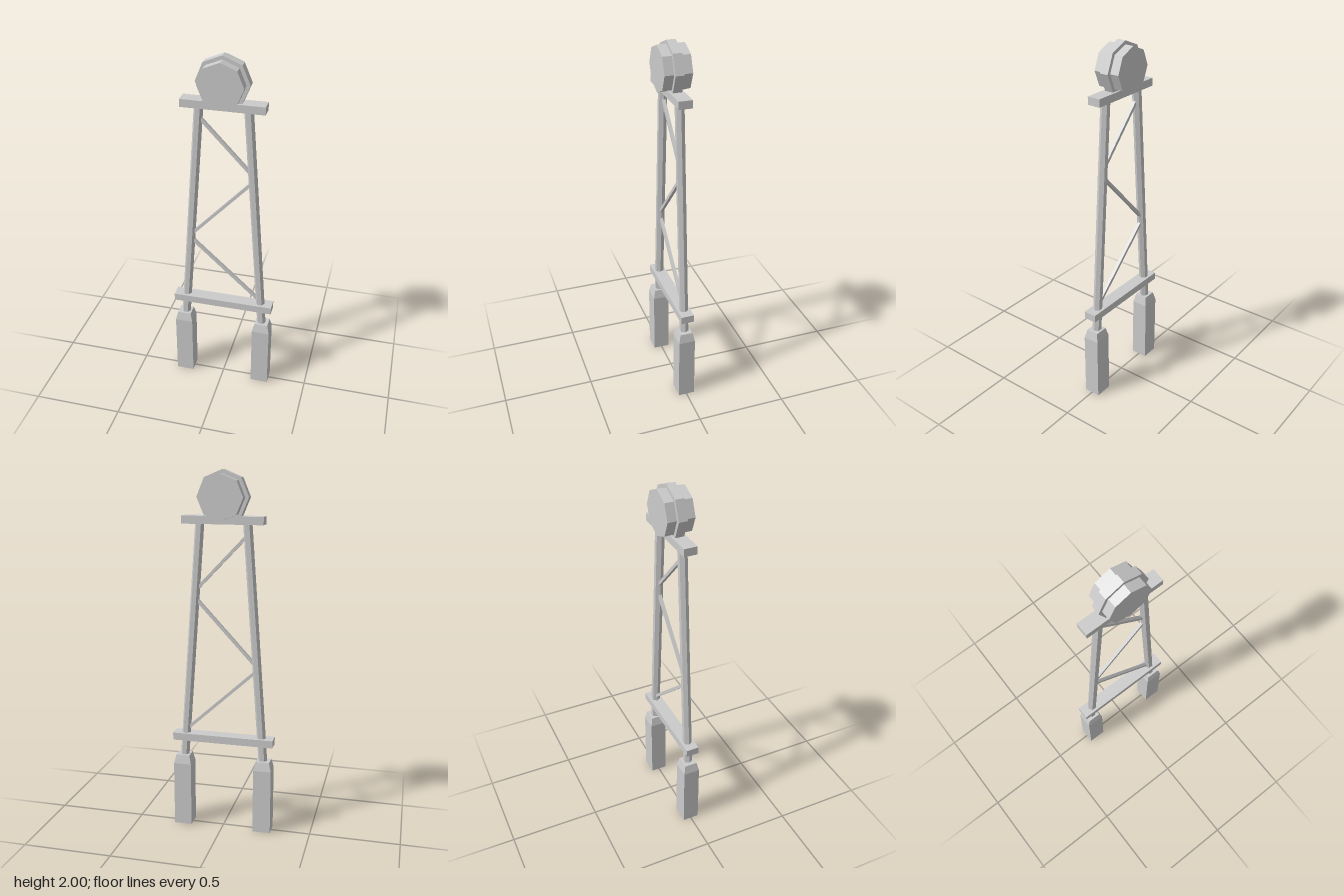
import * as THREE from 'three';

const material = new THREE.MeshStandardMaterial({ color: 0xcccccc, flatShading: true });

export function createModel() {
  const model = new THREE.Group();

  const add = (name, geometry, x = 0, y = 0, z = 0) => {
    const mesh = new THREE.Mesh(geometry, material);
    mesh.name = name;
    mesh.position.set(x, y, z);
    model.add(mesh);
    return mesh;
  };

  // Straight bar between two points in the z = 0 plane
  const bar = (name, [x1, y1], [x2, y2], makeGeometry) => {
    const length = Math.hypot(x2 - x1, y2 - y1);
    const mesh = add(name, makeGeometry(length), (x1 + x2) / 2, (y1 + y2) / 2);
    mesh.rotation.z = Math.atan2(x1 - x2, y2 - y1);
  };

  // Octagonal drum with a raised middle band
  const drum = (name, radius, depth, z) =>
    add(name, new THREE.CylinderGeometry(radius, radius, depth, 8).rotateX(Math.PI / 2), 0, 1.86, z);
  drum('drumBand', 0.14, 0.048, 0);
  drum('drumFront', 0.12, 0.049, 0.0485);
  drum('drumBack', 0.12, 0.049, -0.0485);

  // Cross beams
  add('topBeam', new THREE.BoxGeometry(0.44, 0.042, 0.072), 0, 1.742);
  add('lowerBeam', new THREE.BoxGeometry(0.57, 0.042, 0.072), 0, 0.53);

  for (const side of [1, -1]) {
    const label = side > 0 ? 'left' : 'right';

    // Leaning hexagonal leg, corners pointing along x
    bar(label + 'Leg', [side * 0.227, 0.4], [side * 0.129, 1.73],
      (length) => new THREE.CylinderGeometry(0.025, 0.025, length, 6).rotateY(Math.PI / 2));

    // Foot block with a tapered cap
    const foot = new THREE.BoxGeometry(0.1, 0.42, 0.092, 1, 2, 1);
    const p = foot.attributes.position;
    for (let i = 0; i < p.count; i++) {
      if (p.getY(i) > 0.1) p.setXYZ(i, p.getX(i) * 0.76, 0.21, p.getZ(i) * 0.76);
      else if (p.getY(i) > -0.1) p.setY(i, 0.16);
    }
    foot.computeVertexNormals();
    add(label + 'Foot', foot, side * 0.23, 0.21);
  }

  // Zigzag braces between the legs
  const braces = [
    [[-0.125, 1.66], [0.15, 1.37]],
    [[0.15, 1.317], [-0.178, 0.965]],
    [[-0.18, 0.93], [0.21, 0.572]],
  ];
  for (const [a, b] of braces) {
    bar('brace', a, b, (length) => new THREE.BoxGeometry(0.017, length, 0.017));
  }

  return model;
}
